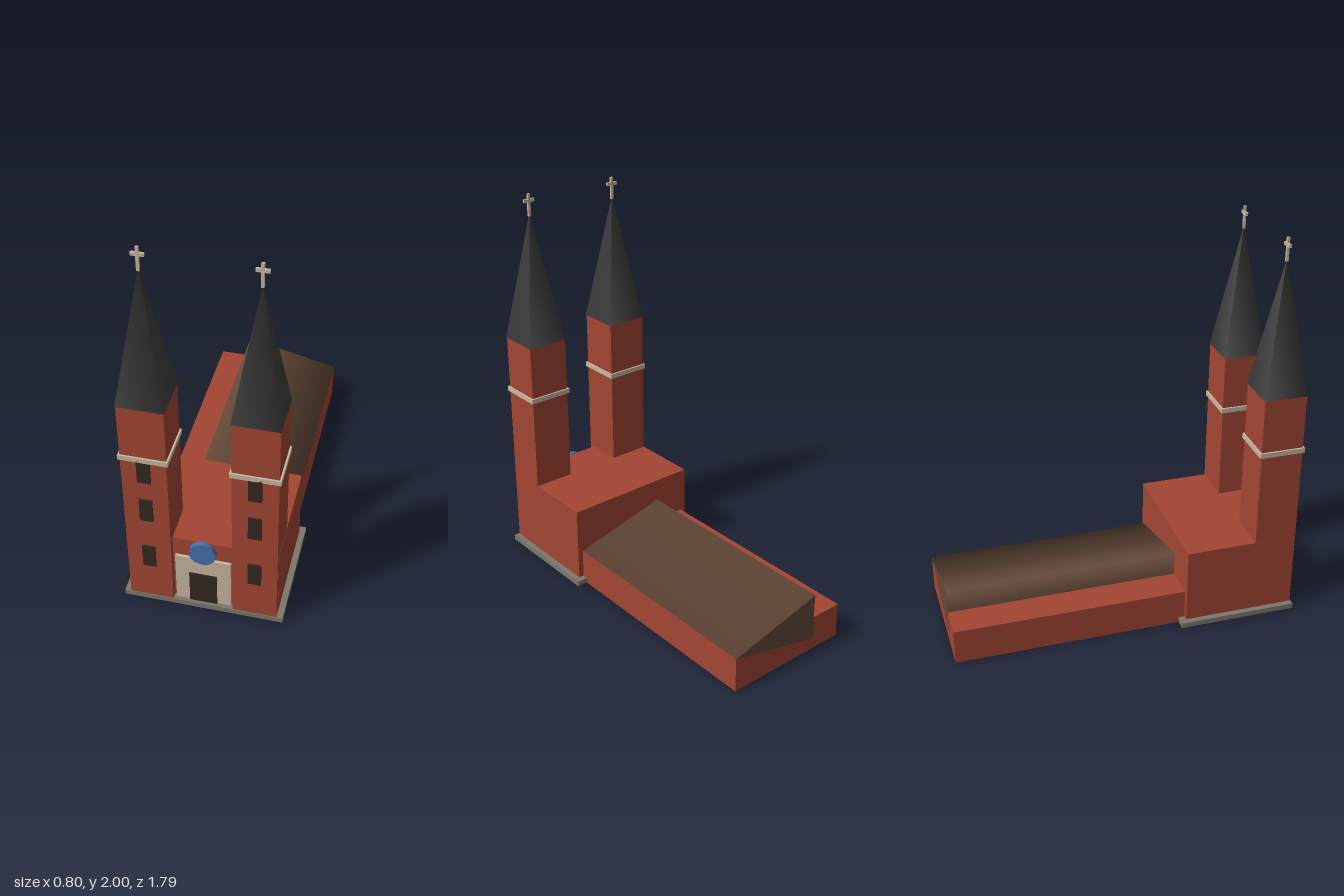
import * as THREE from 'three';

const mat = (name, color) => {
  const m = new THREE.MeshStandardMaterial({ color });
  m.name = name;
  return m;
};

export function createModel() {
  const brick = mat('red brick', 0xa34533);
  const slate = mat('dark slate', 0x3a3a3a);
  const tile = mat('brown roof', 0x654a38);
  const stone = mat('pale stone', 0xc8b8a0);
  const plinthGrey = mat('plinth grey', 0x7c766c);
  const dark = mat('dark opening', 0x33291f);
  const blue = mat('blue glass', 0x4670ac);

  const model = new THREE.Group();
  model.name = 'church';

  const add = (parent, name, geometry, material, x, y, z) => {
    const mesh = new THREE.Mesh(geometry, material);
    mesh.name = name;
    mesh.position.set(x, y, z);
    parent.add(mesh);
    return mesh;
  };
  // Box given by its limits on each axis
  const box = (parent, name, material, [x0, x1], [y0, y1], [z0, z1]) =>
    add(parent, name, new THREE.BoxGeometry(x1 - x0, y1 - y0, z1 - z0), material,
      (x0 + x1) / 2, (y0 + y1) / 2, (z0 + z1) / 2);

  // Plinth, front block and nave
  box(model, 'plinth', plinthGrey, [-0.398, 0.398], [0.002, 0.03], [0.272, 0.888]);
  box(model, 'frontBlock', brick, [-0.368, 0.368], [0, 0.43], [0.303, 0.852]);
  box(model, 'nave', brick, [-0.34, 0.34], [0, 0.184], [-0.893, 0.31]);

  // Lopsided three-sided nave roof, its lower part sunk into the nave
  const roof = new THREE.CylinderGeometry(0.34, 0.34, 1.196, 3);
  roof.rotateY(Math.PI / 2);
  roof.rotateX(Math.PI / 2);
  // Put one corner at +x, the other two at x = -0.17
  roof.computeBoundingBox();
  const b = roof.boundingBox;
  if (b.max.x < 0.33) roof.rotateZ(Math.PI);
  roof.scale(1, 0.43, 1);
  add(model, 'naveRoof', roof, tile, 0, 0.185, -0.296);

  // Portal, door and round window
  box(model, 'portal', stone, [-0.137, 0.137], [0.03, 0.323], [0.85, 0.866]);
  box(model, 'door', dark, [-0.068, 0.068], [0.03, 0.222], [0.865, 0.872]);
  const rose = new THREE.CylinderGeometry(0.066, 0.066, 0.026, 32);
  rose.rotateX(Math.PI / 2);
  add(model, 'roundWindow', rose, blue, 0, 0.369, 0.863);

  // Twin towers
  for (const side of [-1, 1]) {
    const tower = new THREE.Group();
    tower.name = side > 0 ? 'leftTower' : 'rightTower';
    tower.position.set(side * 0.258, 0, 0.775);
    model.add(tower);

    const h = 0.109;
    box(tower, 'shaft', brick, [-h, h], [0, 1.23], [-h, h]);
    box(tower, 'cornice', stone, [-0.118, 0.118], [0.924, 0.95], [-0.118, 0.118]);
    for (const y of [0.314, 0.623, 0.867])
      box(tower, 'towerWindow', dark, [-0.032, 0.032], [y - 0.067, y + 0.067], [h, 0.118]);

    const spire = new THREE.ConeGeometry(0.158, 0.67, 4);
    spire.rotateY(Math.PI / 4);
    add(tower, 'spire', spire, slate, 0, 1.565, 0);

    box(tower, 'crossPost', stone, [-0.007, 0.007], [1.885, 2], [-0.006, 0.006]);
    box(tower, 'crossArm', stone, [-0.03, 0.03], [1.957, 1.973], [-0.006, 0.006]);
  }
  return model;
}
